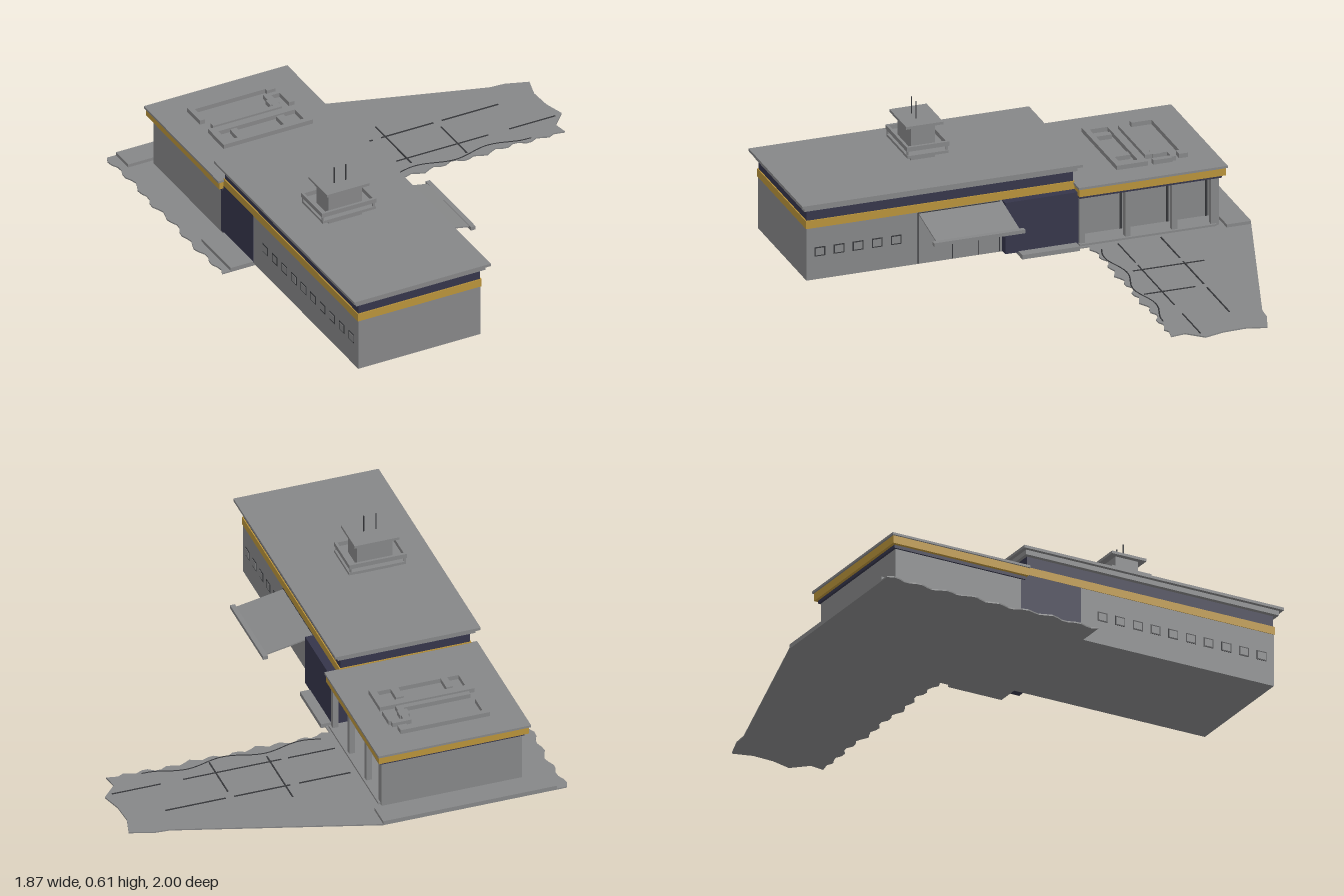
import * as THREE from 'three';

const mat = (name, color) => {
  const m = new THREE.MeshStandardMaterial({ color });
  m.name = name;
  return m;
};

export function createModel() {
  const root = new THREE.Group();
  root.name = 'terminalBuilding';
  const concrete = mat('concreteGrey', 0x858687);
  const navy = mat('navyCladding', 0x35354a);
  const gold = mat('goldTrim', 0xb8923a);
  const seam = mat('darkSeam', 0x36373a);

  // Box given by its limits on each axis
  const box = (name, m, x0, x1, y0, y1, z0, z1, parent = root) => {
    const mesh = new THREE.Mesh(new THREE.BoxGeometry(x1 - x0, y1 - y0, z1 - z0), m);
    mesh.position.set((x0 + x1) / 2, (y0 + y1) / 2, (z0 + z1) / 2);
    mesh.name = name;
    parent.add(mesh);
    return mesh;
  };
  // Rectangular frame seen from above, made of four bars of width w
  const frame = (name, m, x0, x1, y0, y1, z0, z1, w) => {
    const g = new THREE.Group();
    g.name = name;
    box(name + 'Back', m, x0, x1, y0, y1, z0, z0 + w, g);
    box(name + 'Front', m, x0, x1, y0, y1, z1 - w, z1, g);
    box(name + 'Right', m, x0, x0 + w, y0, y1, z0 + w, z1 - w, g);
    box(name + 'Left', m, x1 - w, x1, y0, y1, z0 + w, z1 - w, g);
    root.add(g);
  };

  // Ground: ragged outline in x and z, with an apron on the left
  const ground = new THREE.Shape();
  ground.moveTo(-0.1, -1);
  [[0.76, -0.73], [0.83, -0.725], [0.93, -0.69], [0.905, -0.6], [0.91, -0.5], [0.935, -0.41],
    [0.87, -0.34], [0.88, -0.275]].forEach(([x, z]) => ground.lineTo(x, z));
  for (let i = 0; i <= 34; i++) {
    ground.lineTo(0.83 - i * 0.027, -0.285 + 0.011 * Math.sin(i * 1.7) + 0.006 * Math.sin(i * 0.6));
  }
  ground.lineTo(-0.12, -0.28);
  ground.lineTo(-0.12, 0.03);
  for (let i = 0; i <= 36; i++) {
    ground.lineTo(-0.921 + 0.01 * Math.sin(i * 1.4) + 0.005 * Math.sin(i * 0.5), 0.03 - i * 1.03 / 36);
  }
  const groundGeo = new THREE.ExtrudeGeometry(ground, { depth: 0.006, bevelEnabled: false });
  groundGeo.rotateX(Math.PI / 2).translate(0, 0.006, 0);
  const groundMesh = new THREE.Mesh(groundGeo, concrete);
  groundMesh.name = 'groundApron';
  root.add(groundMesh);

  // Apron paving joints
  [[-0.1, 0.13, -0.596, -0.59], [0.17, 0.42, -0.596, -0.59], [0.46, 0.73, -0.596, -0.59],
    [-0.1, 0.11, -0.403, -0.398], [0.14, 0.58, -0.403, -0.398], [0.68, 0.9, -0.403, -0.398],
    [0.187, 0.193, -0.68, -0.36], [0.431, 0.437, -0.55, -0.32]].forEach(([x0, x1, z0, z1]) =>
    box('pavingJoint', seam, x0, x1, 0.005, 0.009, z0, z1));
  const crackPoints = [];
  for (let i = 0; i <= 16; i++) {
    crackPoints.push(new THREE.Vector3(-0.07 + i * 0.05, 0.006, -0.315 + 0.018 * Math.sin(i * 0.9)));
  }
  const crack = new THREE.Mesh(
    new THREE.TubeGeometry(new THREE.CatmullRomCurve3(crackPoints), 48, 0.003, 4), seam);
  crack.name = 'apronCrack';
  root.add(crack);

  // Raised walkways
  box('backWalkway', concrete, -0.88, -0.1, 0, 0.02, -1, -0.89);
  box('linkWalkway', concrete, -0.88, -0.1, 0, 0.02, -0.23, 0.03);

  // Main hall
  box('hallWalls', concrete, -0.77, -0.185, 0.012, 0.253, 0.03, 0.97);
  box('hallGoldBand', gold, -0.773, -0.182, 0.251, 0.287, -0.235, 0.973);
  box('hallClerestory', navy, -0.768, -0.187, 0.287, 0.337, -0.23, 0.968);
  box('hallRoofEdge', concrete, -0.788, -0.17, 0.337, 0.36, -0.245, 0.985);
  box('hallRoof', concrete, -0.805, -0.153, 0.358, 0.37, -0.262, 1);
  // Navy link between hall and wing
  box('linkRight', navy, -0.772, -0.46, 0.015, 0.251, -0.26, 0.03);
  box('linkLeft', navy, -0.46, -0.145, 0.015, 0.251, -0.24, 0.09);

  // Square windows: dark surround with a grey pane
  const addWindow = (side, z) => {
    const x = side > 0 ? -0.185 : -0.77;
    box('windowSurround', seam, x - 0.002, x + 0.002, 0.118, 0.16, z - 0.024, z + 0.024);
    box('windowPane', concrete, x - 0.003, x + 0.003, 0.123, 0.155, z - 0.019, z + 0.019);
  };
  for (let i = 0; i < 5; i++) addWindow(1, 0.91 - i * 0.086);
  for (let i = 0; i < 10; i++) addWindow(-1, 0.91 - i * 0.086);

  // Entrance panel with sloping canopy
  box('entranceOutline', seam, -0.186, -0.182, 0.015, 0.248, 0.1, 0.47);
  [[0.104, 0.196], [0.2, 0.312], [0.316, 0.466]].forEach(([z0, z1]) =>
    box('entrancePanel', concrete, -0.186, -0.181, 0.015, 0.245, z0, z1));
  box('doorHandle', seam, -0.181, -0.178, 0.11, 0.13, 0.158, 0.166);
  const canopy = box('canopy', concrete, -0.115, 0.115, -0.003, 0.003, 0.09, 0.465);
  canopy.position.x = -0.075;
  canopy.position.y = 0.221;
  canopy.rotation.z = -0.19;
  box('canopyEdge', concrete, 0.028, 0.05, 0.19, 0.206, 0.072, 0.482);

  // Back wing: solid shell with a recessed porch on the left
  box('wingWalls', concrete, -0.77, -0.23, 0.005, 0.235, -0.87, -0.24);
  box('wingBackWall', concrete, -0.23, -0.14, 0.005, 0.235, -0.87, -0.855);
  box('porchFloor', concrete, -0.23, -0.13, 0.004, 0.015, -0.855, -0.24);
  box('wingSoffit', navy, -0.778, -0.133, 0.224, 0.24, -0.88, -0.24);
  box('wingGoldBand', gold, -0.793, -0.12, 0.238, 0.273, -0.893, -0.235);
  box('wingRoof', concrete, -0.8, -0.115, 0.273, 0.283, -0.9, -0.23);
  [-0.255, -0.46, -0.67, -0.845].forEach((z) => {
    box('porchColumn', concrete, -0.165, -0.14, 0.012, 0.226, z - 0.012, z + 0.012);
    box('porchMullion', seam, -0.231, -0.226, 0.015, 0.224, z - 0.005, z + 0.005);
  });

  // Roof ducts on the wing
  [[-0.66, -0.26, -0.775, -0.75], [-0.66, -0.635, -0.75, -0.66], [-0.3, -0.26, -0.75, -0.735],
    [-0.63, -0.32, -0.62, -0.597], [-0.33, -0.3, -0.715, -0.597], [-0.3, -0.245, -0.715, -0.695],
    [-0.26, -0.235, -0.695, -0.61], [-0.34, -0.295, -0.67, -0.63],
    [-0.66, -0.235, -0.585, -0.55], [-0.66, -0.63, -0.55, -0.47], [-0.265, -0.235, -0.55, -0.47],
    [-0.66, -0.235, -0.47, -0.445], [-0.58, -0.55, -0.54, -0.47], [-0.36, -0.325, -0.54, -0.47]]
    .forEach(([x0, x1, z0, z1]) => box('roofDuct', concrete, x0, x1, 0.28, 0.303, z0, z1));

  // Roof tower with walkway, rail, cap and aerials
  box('towerBody', concrete, -0.61, -0.45, 0.365, 0.528, 0.292, 0.402);
  box('towerWalkway', concrete, -0.655, -0.4, 0.402, 0.414, 0.25, 0.435);
  frame('towerRail', concrete, -0.66, -0.4, 0.434, 0.454, 0.247, 0.438, 0.012);
  for (const x of [-0.652, -0.41]) {
    for (const z of [0.255, 0.43]) box('railPost', concrete, x - 0.004, x + 0.004, 0.41, 0.436, z - 0.004, z + 0.004);
  }
  box('towerCap', concrete, -0.632, -0.43, 0.523, 0.535, 0.263, 0.43);
  for (const x of [-0.56, -0.505]) {
    const aerial = new THREE.Mesh(new THREE.CylinderGeometry(0.003, 0.003, 0.078, 6), seam);
    aerial.position.set(x, 0.573, 0.358);
    aerial.name = 'aerial';
    root.add(aerial);
  }
  return root;
}
